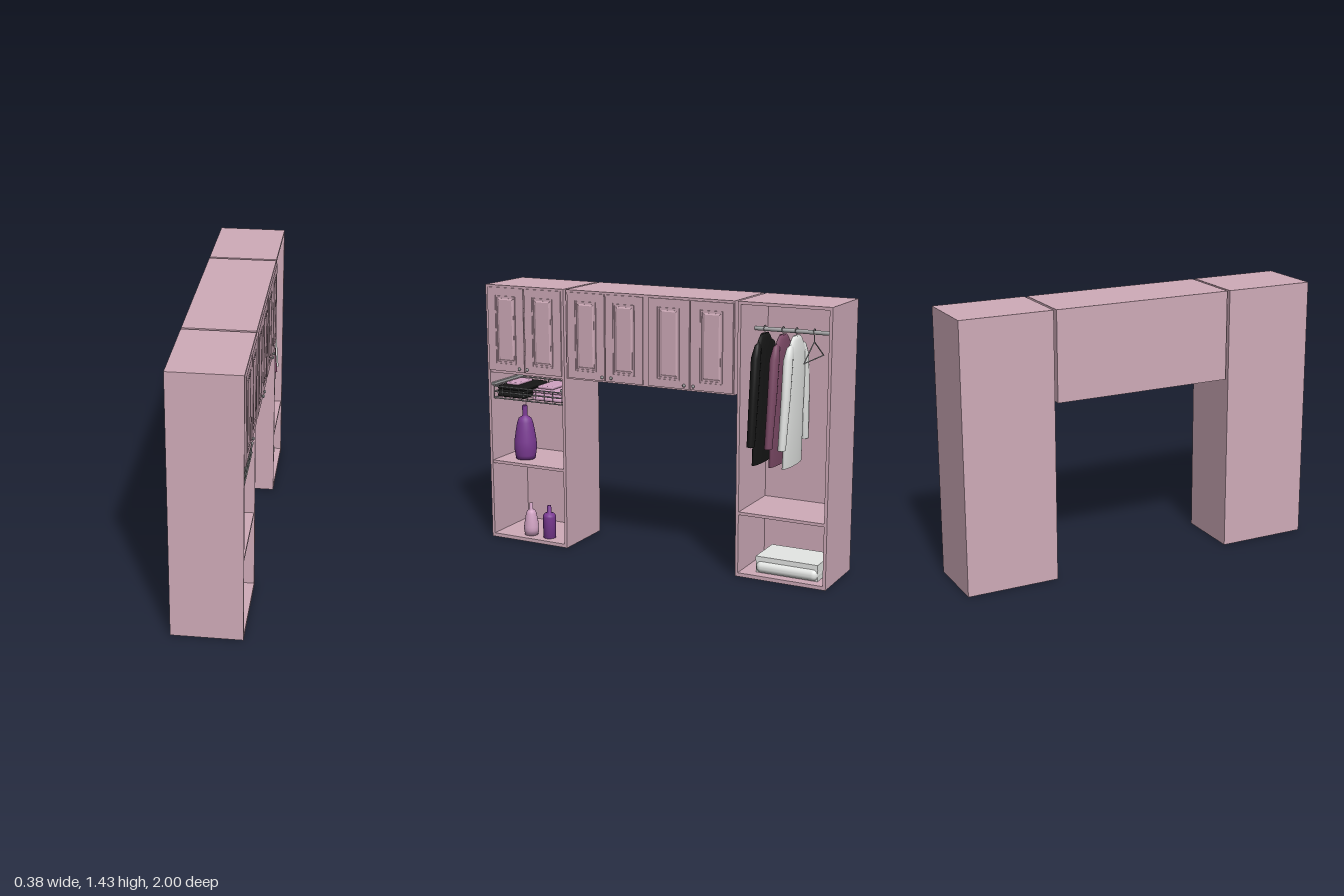
import * as THREE from 'three';
import { RoundedBoxGeometry } from 'three/addons/geometries/RoundedBoxGeometry.js';

const mat = (name, color) => Object.assign(new THREE.MeshStandardMaterial({ color }), { name });

export function createModel() {
  const M = {
    pink: mat('cabinet pink', 0xcfabb9),
    purple: mat('bottle purple', 0x7a3a92),
    lilac: mat('bottle lilac', 0xd0a2c2),
    black: mat('black cloth', 0x161616),
    plum: mat('plum cloth', 0x7c4a66),
    white: mat('white cloth', 0xe6e8e6),
    metal: mat('grey metal', 0xa6a6a8),
  };
  const root = new THREE.Group();
  root.name = 'wardrobeUnit';
  const group = (name, parent = root) => {
    const g = new THREE.Group();
    g.name = name;
    parent.add(g);
    return g;
  };
  const add = (parent, name, geo, m, x = 0, y = 0, z = 0) => {
    const mesh = new THREE.Mesh(geo, m);
    mesh.name = name;
    mesh.position.set(x, y, z);
    parent.add(mesh);
    return mesh;
  };
  // Box given by its limits on each axis
  const box = (parent, name, m, x0, x1, y0, y1, z0, z1) =>
    add(parent, name, new THREE.BoxGeometry(x1 - x0, y1 - y0, z1 - z0), m,
      (x0 + x1) / 2, (y0 + y1) / 2, (z0 + z1) / 2);
  // Straight round bar between two points
  const bar = (parent, name, a, b, r, m = M.metal, sides = 8) => {
    const A = new THREE.Vector3(...a), d = new THREE.Vector3(...b).sub(A);
    const mesh = add(parent, name, new THREE.CylinderGeometry(r, r, d.length(), sides), m);
    mesh.position.copy(A).addScaledVector(d, 0.5);
    mesh.quaternion.setFromUnitVectors(new THREE.Vector3(0, 1, 0), d.normalize());
    return mesh;
  };

  const X0 = -0.195, X1 = 0.17, TOP = 1.43, T = 0.016;

  // Open tower: sides, back, top, bottom and shelves
  const tower = (name, z0, z1, shelves) => {
    const g = group(name);
    box(g, 'sidePanel', M.pink, X0, X1, 0, TOP, z0, z0 + T);
    box(g, 'sidePanel', M.pink, X0, X1, 0, TOP, z1 - T, z1);
    box(g, 'backPanel', M.pink, X0, X0 + T, 0, TOP, z0 + T, z1 - T);
    box(g, 'topPanel', M.pink, X0 + T, X1, TOP - T, TOP, z0 + T, z1 - T);
    box(g, 'bottomPanel', M.pink, X0 + T, X1, 0, 0.02, z0 + T, z1 - T);
    for (const y of shelves) box(g, 'shelf', M.pink, X0 + T, X1 - 0.004, y, y + T, z0 + T, z1 - T);
    return g;
  };
  const shelfTower = tower('shelfTower', 0.508, 1, [0.429, 0.945]);
  const hangingTower = tower('hangingTower', -1, -0.503, [0.33]);
  const bridge = group('bridgeCabinet');
  box(bridge, 'bridgeBody', M.pink, X0, X1, 0.952, TOP, -0.487, 0.492);

  // Framed door with a recessed moulding, a raised centre and a knob
  const rect = (S, w, h) => new S([[-w, -h], [w, -h], [w, h], [-w, h]]
    .map(([a, b]) => new THREE.Vector2(a / 2, b / 2)));
  const ring = (w, h, iw, ih, depth) => {
    const s = rect(THREE.Shape, w, h);
    s.holes.push(rect(THREE.Path, iw, ih));
    return new THREE.ExtrudeGeometry(s, { depth, bevelEnabled: false });
  };
  const door = (parent, z0, z1, knobZ) => {
    const g = group('door', parent), w = z1 - z0, h = 0.458;
    g.position.set(X1, 1.189, (z0 + z1) / 2);
    const face = group('doorFace', g);
    face.rotation.y = Math.PI / 2;
    add(face, 'doorSlab', new THREE.BoxGeometry(w, h, 0.003), M.pink, 0, 0, 0.0015);
    add(face, 'doorFrame', ring(w, h, 0.13, 0.375, 0.007), M.pink);
    add(face, 'doorMoulding', ring(0.122, 0.367, 0.108, 0.353, 0.009), M.pink);
    const centre = new THREE.ExtrudeGeometry(rect(THREE.Shape, 0.08, 0.325),
      { depth: 0.002, bevelThickness: 0.004, bevelSize: 0.008, bevelSegments: 1 });
    add(face, 'doorCentre', centre, M.pink, 0, 0, 0.002);
    const kz = knobZ - (z0 + z1) / 2;
    bar(g, 'knobStem', [0.006, -0.209, kz], [0.013, -0.209, kz], 0.004);
    add(g, 'knob', new THREE.SphereGeometry(0.009, 14, 10), M.metal, 0.014, -0.209, kz).scale.x = 0.65;
  };
  door(shelfTower, 0.757, 0.985, 0.785);
  door(shelfTower, 0.523, 0.75, 0.735);
  door(bridge, 0.257, 0.481, 0.268);
  door(bridge, 0.03, 0.251, 0.215);
  door(bridge, -0.238, -0.002, -0.212);
  door(bridge, -0.481, -0.244, -0.264);

  // Bottles
  const bottle = (name, m, x, z, pts) =>
    add(shelfTower, name, new THREE.LatheGeometry(pts.map(p => new THREE.Vector2(...p)), 28), m, x, 0, z);
  bottle('largeBottle', M.purple, 0.05, 0.843, [[0, 0.447], [0.054, 0.447], [0.058, 0.47], [0.064, 0.51],
    [0.062, 0.55], [0.053, 0.61], [0.044, 0.655], [0.036, 0.677], [0.016, 0.69], [0.015, 0.695],
    [0.014, 0.748], [0.013, 0.75], [0, 0.75]]);
  bottle('lilacBottle', M.lilac, 0.097, 0.785, [[0, 0.021], [0.037, 0.021], [0.042, 0.05], [0.042, 0.07],
    [0.036, 0.11], [0.029, 0.145], [0.023, 0.16], [0.011, 0.168], [0.01, 0.204], [0, 0.207]]);
  bottle('purpleBottle', M.purple, 0.098, 0.665, [[0, 0.021], [0.036, 0.021], [0.036, 0.14], [0.034, 0.15],
    [0.026, 0.16], [0.012, 0.165], [0.011, 0.204], [0, 0.207]]);

  // Wire basket with folded cloths
  const basket = group('wireBasket', shelfTower);
  const bx0 = -0.15, bx1 = 0.155, bz0 = 0.54, bz1 = 0.972;
  for (const y of [0.8, 0.835, 0.866]) {
    for (const x of [bx0, bx1]) bar(basket, 'basketRail', [x, y, bz0], [x, y, bz1], 0.0035);
    for (const z of [bz0, bz1]) bar(basket, 'basketRail', [bx0, y, z], [bx1, y, z], 0.0035);
  }
  for (let i = 0; i <= 8; i++) {
    const z = bz0 + (bz1 - bz0) * i / 8;
    bar(basket, 'basketWire', [bx0, 0.8, z], [bx1, 0.8, z], 0.002, M.metal, 6);
    for (const x of [bx0, bx1]) bar(basket, 'basketUpright', [x, 0.8, z], [x, 0.866, z], 0.002, M.metal, 6);
  }
  for (let i = 1; i < 6; i++) {
    const x = bx0 + (bx1 - bx0) * i / 6;
    bar(basket, 'basketWire', [x, 0.8, bz0], [x, 0.8, bz1], 0.002, M.metal, 6);
    for (const z of [bz0, bz1]) bar(basket, 'basketUpright', [x, 0.8, z], [x, 0.866, z], 0.002, M.metal, 6);
  }
  for (const [z0, z1] of [[0.525, 0.542], [0.968, 0.984]])
    box(basket, 'basketRunner', M.metal, -0.17, 0.16, 0.872, 0.886, z0, z1);
  for (let i = 0; i < 3; i++) {
    const y = 0.814 + i * 0.021;
    add(basket, 'blackCloth', new RoundedBoxGeometry(0.25, 0.02, 0.175, 3, 0.009), M.black, 0.01, y, 0.878);
    add(basket, 'lilacCloth', new RoundedBoxGeometry(0.25, 0.02, 0.185, 3, 0.009), M.lilac, 0.01, y, 0.646);
  }
  add(basket, 'topCloth', new RoundedBoxGeometry(0.18, 0.018, 0.1, 3, 0.008), M.lilac, 0.02, 0.874, 0.67);
  add(basket, 'topCloth', new RoundedBoxGeometry(0.15, 0.016, 0.08, 3, 0.007), M.lilac, 0.01, 0.873, 0.9);

  // Hanging rail and hangers
  const CX = -0.0125;
  bar(hangingTower, 'hangingRail', [CX, 1.272, -0.519], [CX, 1.272, -0.984], 0.011, M.metal, 16);
  const hanger = z => {
    const g = group('hanger', hangingTower);
    g.position.set(CX, 0, z);
    const hook = add(g, 'hangerHook', new THREE.TorusGeometry(0.016, 0.0025, 6, 16, Math.PI * 1.25), M.metal, 0, 1.274, 0);
    hook.rotation.z = -Math.PI / 4;
    bar(g, 'hangerStem', [0, 1.259, 0], [0, 1.225, 0], 0.0025);
    for (const s of [-1, 1]) bar(g, 'hangerArm', [0, 1.225, 0], [s * 0.137, 1.136, 0], 0.003);
    bar(g, 'hangerBase', [-0.137, 1.136, 0], [0.137, 1.136, 0], 0.003);
  };

  // Loft of oval sections [centre x, y, centre z, half width, half depth], top to bottom
  const loft = (sections, n = 20) => {
    const pos = [], idx = [];
    sections.forEach(([cx, y, cz, rx, rz], i) => {
      for (let j = 0; j < n; j++) {
        const a = j / n * Math.PI * 2;
        pos.push(cx + rx * Math.cos(a), y, cz + rz * Math.sin(a));
        if (i < sections.length - 1) {
          const p = i * n + j, q = i * n + (j + 1) % n;
          idx.push(p, q, p + n, q, q + n, p + n);
        }
      }
    });
    const g = new THREE.BufferGeometry();
    g.setAttribute('position', new THREE.Float32BufferAttribute(pos, 3));
    g.setIndex(idx);
    g.computeVertexNormals();
    return g;
  };
  // Long-sleeved garment on a hanger
  const garment = (name, m, z, lean) => {
    const g = group(name, hangingTower);
    g.position.set(CX, 0, z);
    add(g, 'garmentBody', loft([[0, 1.25, 0, 0, 0], [0, 1.25, 0, 0.04, 0.013], [0, 1.23, 0, 0.065, 0.018],
      [0, 1.17, 0, 0.115, 0.023], [0, 1.05, 0, 0.11, 0.024], [0, 0.85, lean / 2, 0.115, 0.023],
      [0, 0.582, lean, 0.125, 0.021], [0, 0.58, lean, 0, 0]]), m);
    for (const s of [-1, 1])
      add(g, 'garmentSleeve', loft([[s * 0.075, 1.215, 0, 0, 0], [s * 0.085, 1.2, 0, 0.024, 0.015],
        [s * 0.108, 1.14, 0, 0.034, 0.024], [s * 0.13, 0.95, 0, 0.032, 0.023],
        [s * 0.155, 0.69, lean / 2, 0.027, 0.02], [s * 0.155, 0.682, lean / 2, 0, 0]], 14), m);
    hanger(z);
  };
  garment('blackGarment', M.black, -0.572, 0.004);
  garment('plumGarment', M.plum, -0.672, 0.012);
  garment('whiteGarment', M.white, -0.745, 0.012);
  hanger(-0.84);

  // Folded towels
  const towels = group('foldedTowels', hangingTower);
  add(towels, 'lowerTowel', new RoundedBoxGeometry(0.24, 0.064, 0.34, 5, 0.03), M.white, 0.02, 0.053, -0.77);
  box(towels, 'towelEnds', M.white, -0.08, 0.12, 0.022, 0.084, -0.939, -0.601);
  box(towels, 'upperTowel', M.white, -0.095, 0.125, 0.084, 0.11, -0.94, -0.6);
  return root;
}
